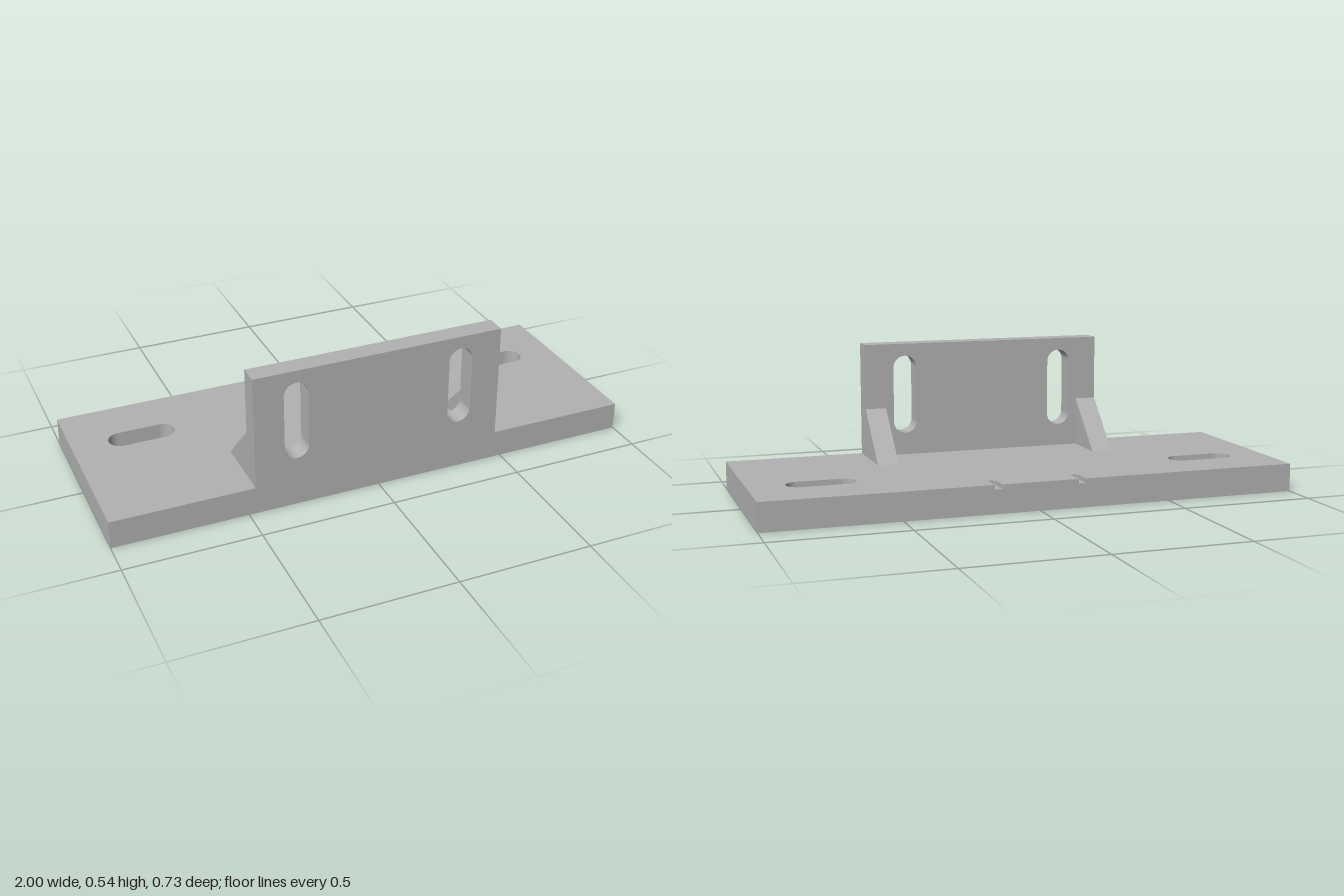
import * as THREE from 'three';

const W = 1, D = 0.367;            // half width and half depth of the base
const BASE_H = 0.105, GROOVE = 0.016;
const WALL_X = 0.473, WALL_TOP = 0.537, WALL_BACK = 0.29;

// Rounded slot path; dx, dy are half distances between the end centres
function slot(cx, cy, dx, dy, r) {
  const p = new THREE.Path();
  const a = Math.atan2(dy, dx);
  p.absarc(cx + dx, cy + dy, r, a - Math.PI / 2, a + Math.PI / 2, false);
  p.absarc(cx - dx, cy - dy, r, a + Math.PI / 2, a + Math.PI * 1.5, false);
  p.closePath();
  return p;
}

// Outline of the base, with optional locating grooves at the back edge
function baseShape(grooves) {
  const s = new THREE.Shape();
  s.moveTo(-W, -D);
  s.lineTo(W, -D);
  s.lineTo(W, D);
  if (grooves) {
    const hw = 0.0135, end = 0.29, r = 0.007;
    for (const x of [0.1575, -0.1575]) {
      s.lineTo(x + hw, D);
      s.lineTo(x + hw, end + r);
      s.quadraticCurveTo(x + hw, end, x + hw - r, end);
      s.lineTo(x - hw + r, end);
      s.quadraticCurveTo(x - hw, end, x - hw, end + r);
      s.lineTo(x - hw, D);
    }
  }
  s.lineTo(-W, D);
  s.closePath();
  for (const side of [-1, 1]) s.holes.push(slot(side * 0.737, 0.134, 0.079, 0, 0.047));
  return s;
}

function extrude(shape, depth) {
  return new THREE.ExtrudeGeometry(shape, { depth, bevelEnabled: false, curveSegments: 16 });
}

export function createModel() {
  const group = new THREE.Group();
  const grey = new THREE.MeshStandardMaterial({ color: 0xb2b2b2 });
  grey.name = 'grey metal';

  const add = (name, geometry) => {
    const mesh = new THREE.Mesh(geometry, grey);
    mesh.name = name;
    group.add(mesh);
  };

  // Base plate: solid layer and a thin top layer cut by the grooves
  const floor = BASE_H - GROOVE;
  add('basePlate', extrude(baseShape(false), floor).rotateX(-Math.PI / 2));
  add('basePlateTop', extrude(baseShape(true), GROOVE).rotateX(-Math.PI / 2).translate(0, floor, 0));

  // Upright wall with two vertical slots
  const wall = new THREE.Shape();
  wall.moveTo(-WALL_X, BASE_H);
  wall.lineTo(WALL_X, BASE_H);
  wall.lineTo(WALL_X, WALL_TOP);
  wall.lineTo(-WALL_X, WALL_TOP);
  wall.closePath();
  for (const side of [-1, 1]) wall.holes.push(slot(side * 0.316, 0.34, 0, 0.105, 0.0455));
  add('uprightWall', extrude(wall, D - WALL_BACK).translate(0, 0, WALL_BACK));

  // Triangular gussets behind the wall, drawn with x as -z
  const tri = new THREE.Shape();
  tri.moveTo(-WALL_BACK, BASE_H);
  tri.lineTo(-0.105, BASE_H);
  tri.lineTo(-WALL_BACK, 0.29);
  tri.closePath();
  const thick = 0.08;
  for (const [name, x] of [['rightGusset', -WALL_X], ['leftGusset', WALL_X - thick]]) {
    add(name, extrude(tri, thick).rotateY(Math.PI / 2).translate(x, 0, 0));
  }
  return group;
}
